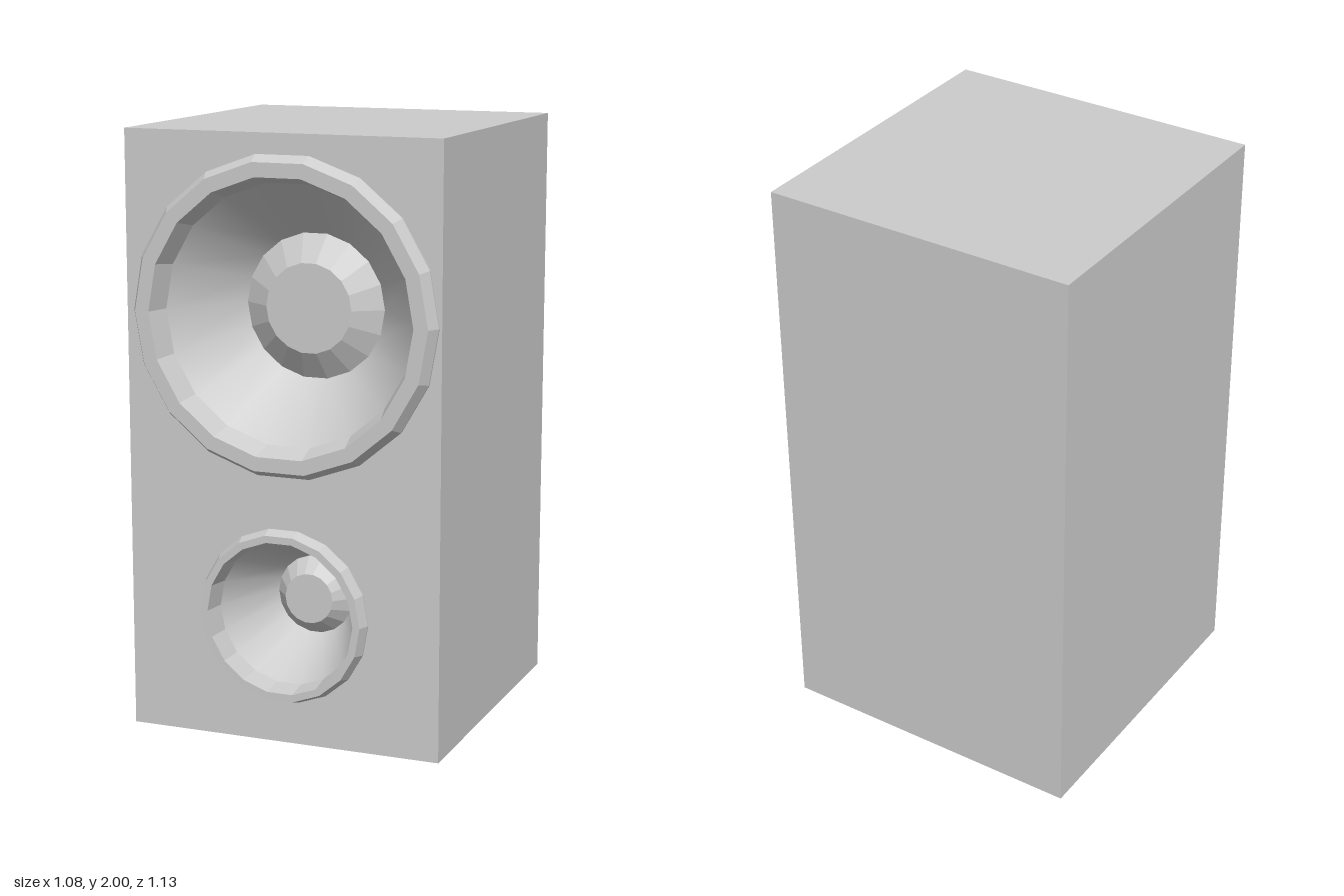
import * as THREE from 'three';

const SIDES = 18;
const FRONT = 0.52;
const BACK = -0.56;
const flat = new THREE.MeshStandardMaterial({ color: 0xcccccc, flatShading: true });
const smooth = new THREE.MeshStandardMaterial({ color: 0xcccccc });

// rim, mouth and cap are [radius, z] profiles; hole is the opening cut in the cabinet front
const drivers = [
  {
    name: 'woofer', x: 0.007, y: 1.415, hole: 0.48,
    rim: [[0.525, 0.51], [0.525, 0.522], [0.503, 0.56], [0.455, 0.56], [0.43, 0.48]],
    cone: [[0.43, 0.48], [0.243, 0.25]],
    cap: [[0.243, 0.25], [0.15, 0.31], [0, 0.31]],
  },
  {
    name: 'tweeter', x: 0.005, y: 0.433, hole: 0.27,
    rim: [[0.294, 0.51], [0.294, 0.522], [0.28, 0.56], [0.256, 0.56], [0.245, 0.48]],
    cone: [[0.245, 0.48], [0.134, 0.25]],
    cap: [[0.134, 0.25], [0.085, 0.31], [0, 0.31]],
  },
];

// Revolve a profile around the z axis, with a corner of the polygon on +x
function revolve(name, profile, material) {
  const points = profile.map(([r, z]) => new THREE.Vector2(r, z));
  const geometry = new THREE.LatheGeometry(points, SIDES, Math.PI / 2);
  geometry.rotateX(Math.PI / 2);
  const mesh = new THREE.Mesh(geometry, material);
  mesh.name = name;
  return mesh;
}

// Box with a polygonal opening for each driver, its front and back slightly skewed
function makeCabinet() {
  const shape = new THREE.Shape();
  shape.moveTo(-0.54, 0).lineTo(0.54, 0).lineTo(0.54, 2).lineTo(-0.54, 2).closePath();
  for (const d of drivers) {
    const corners = [];
    for (let i = 0; i < SIDES; i++) {
      const a = (-i / SIDES) * Math.PI * 2;
      corners.push(new THREE.Vector2(d.x + d.hole * Math.cos(a), d.y + d.hole * Math.sin(a)));
    }
    shape.holes.push(new THREE.Path(corners));
  }
  const front = new THREE.ShapeGeometry(shape);
  front.translate(0, 0, FRONT);

  // Shell without its front face, which the cut panel replaces
  const shell = new THREE.BoxGeometry(1.08, 2, FRONT - BACK);
  shell.translate(0, 1, (FRONT + BACK) / 2);
  const index = Array.from(shell.index.array);
  const g = shell.groups[4];
  index.splice(g.start, g.count);
  shell.setIndex(index);
  shell.clearGroups();

  const group = new THREE.Group();
  group.name = 'cabinet';
  for (const [name, geometry] of [['frontPanel', front], ['cabinetShell', shell]]) {
    const p = geometry.attributes.position;
    for (let i = 0; i < p.count; i++) p.setZ(i, p.getZ(i) - 0.01 * p.getX(i));
    const mesh = new THREE.Mesh(geometry, flat);
    mesh.name = name;
    group.add(mesh);
  }
  return group;
}

export function createModel() {
  const model = new THREE.Group();
  model.name = 'loudspeaker';
  model.add(makeCabinet());

  // Each driver: raised rim, recessed cone, dust cap
  for (const d of drivers) {
    const driver = new THREE.Group();
    driver.name = d.name;
    driver.position.set(d.x, d.y, 0);
    driver.add(revolve('rim', d.rim, flat));
    driver.add(revolve('cone', d.cone, smooth));
    driver.add(revolve('dustCap', d.cap, flat));
    model.add(driver);
  }
  return model;
}
